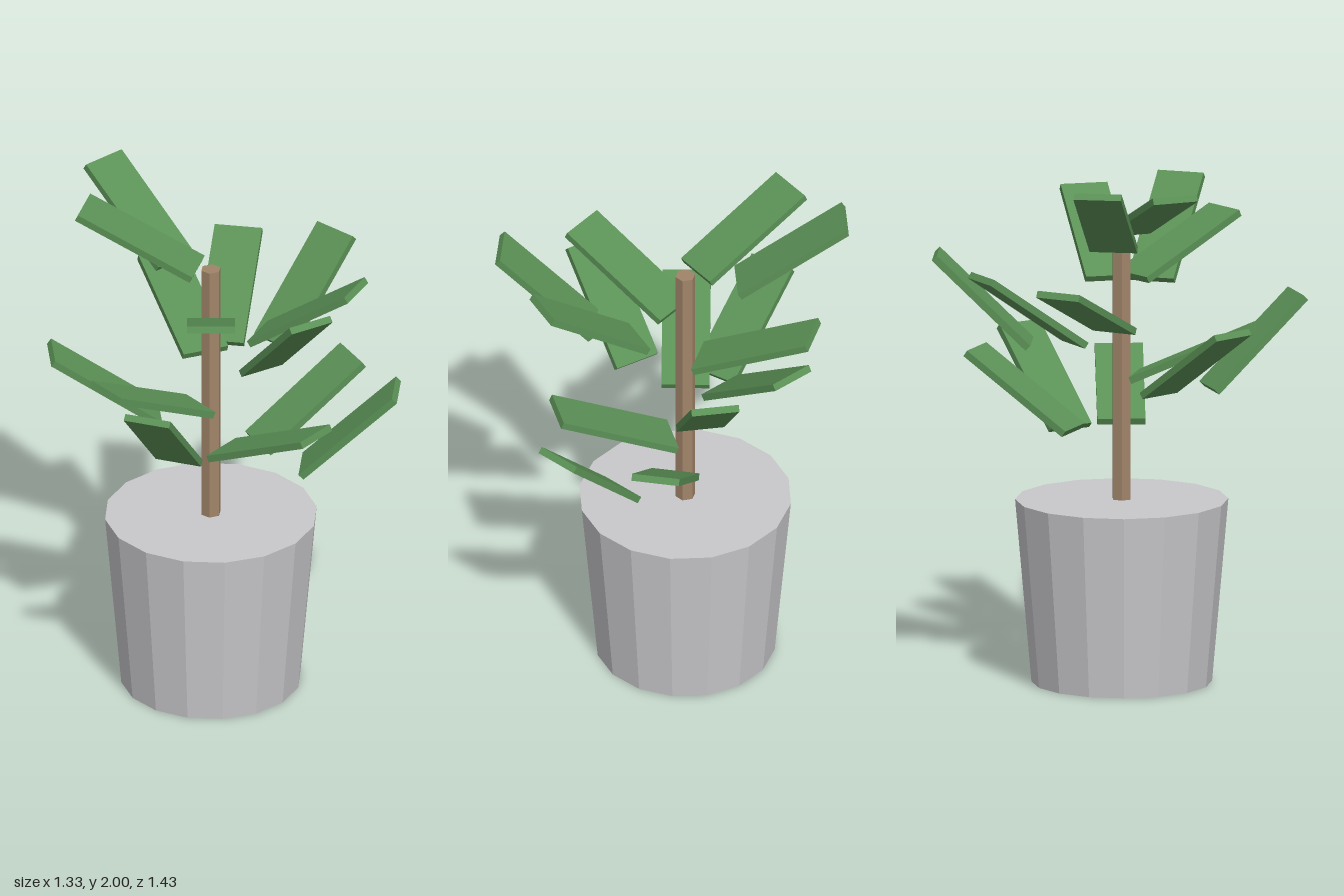
import * as THREE from 'three';

export function createModel() {
  const model = new THREE.Group();
  model.name = 'pottedPlant';

  const material = (name, color) => {
    const m = new THREE.MeshStandardMaterial({ color, flatShading: true });
    m.name = name;
    return m;
  };
  const potGrey = material('potGrey', 0xc8c8cb);
  const barkBrown = material('barkBrown', 0xa08469);
  const leafGreen = material('leafGreen', 0x5b9156);

  // Everything grows around one vertical axis
  const plant = new THREE.Group();
  plant.name = 'plant';
  plant.position.set(-0.043, 0, 0.003);
  model.add(plant);

  // Tapered pot, filled to the rim
  const pot = new THREE.Mesh(new THREE.CylinderGeometry(0.405, 0.343, 0.705, 16), potGrey);
  pot.name = 'pot';
  pot.position.y = 0.3525;
  plant.add(pot);

  // Six-sided stem with corners pointing left and right
  const stem = new THREE.Mesh(new THREE.CylinderGeometry(0.039, 0.039, 1.055, 6), barkBrown);
  stem.name = 'stem';
  stem.position.y = 1.2275;
  stem.rotation.y = Math.PI / 6;
  plant.add(stem);

  // Leaves spiral by the golden angle, cycling through 5 heights and 3 reaches
  const leafGeometry = new THREE.BoxGeometry(0.495, 0.027, 0.183);
  const reach = [0.279, 0.405, 0.529];
  const tilt = [24.5, 34.6, 44].map(THREE.MathUtils.degToRad);
  for (let i = 0; i < 14; i++) {
    const branch = new THREE.Group();
    branch.name = 'leafBranch' + (i + 1);
    branch.position.y = 1.095 + (i % 5) * 0.1885;
    branch.rotation.y = -THREE.MathUtils.degToRad(i * 137.5);
    const leaf = new THREE.Mesh(leafGeometry, leafGreen);
    leaf.name = 'leaf';
    leaf.position.x = reach[i % 3];
    leaf.rotation.z = tilt[i % 3];
    branch.add(leaf);
    plant.add(branch);
  }

  return model;
}
